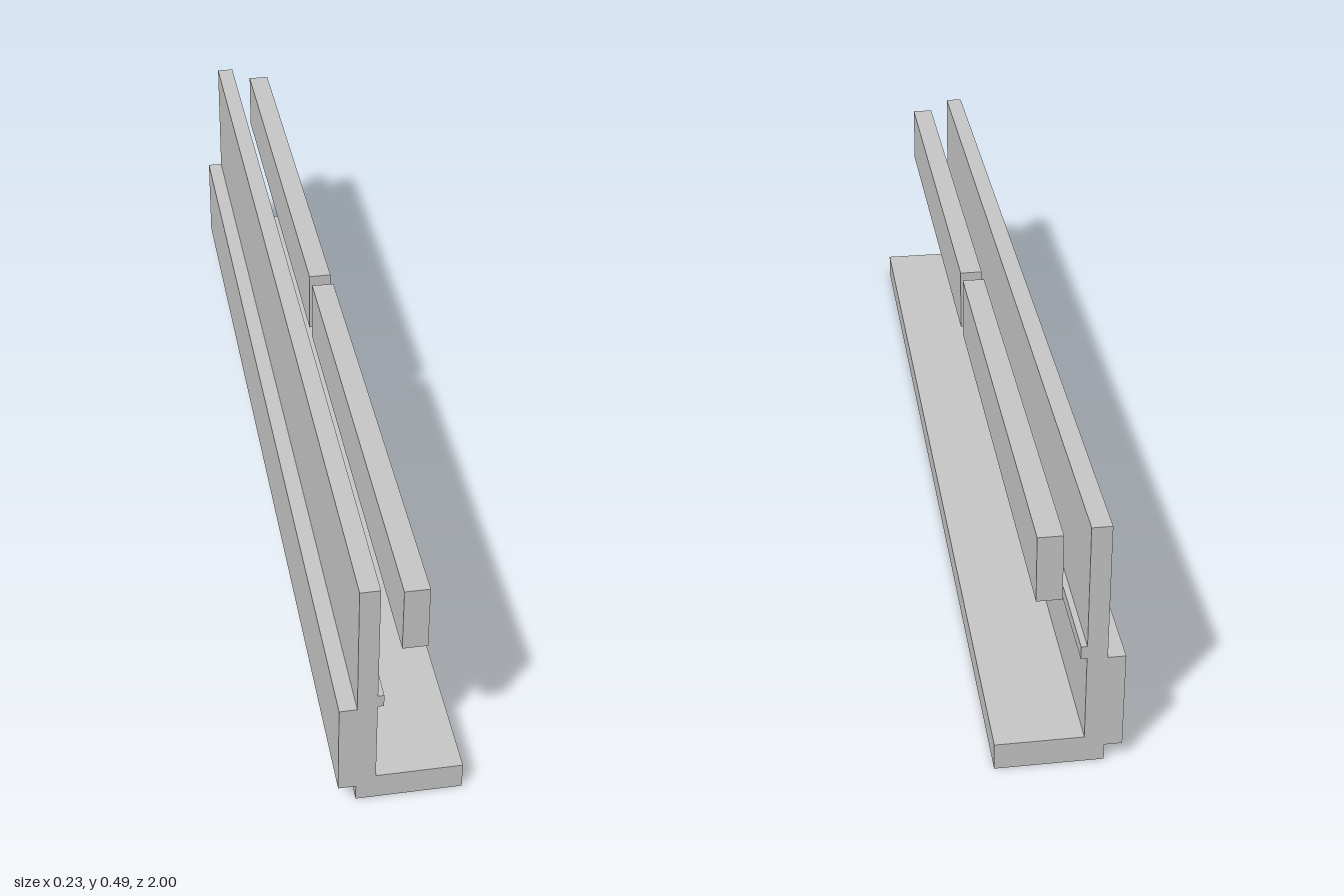
import * as THREE from 'three';

export function createModel() {
  const group = new THREE.Group();
  const grey = new THREE.MeshStandardMaterial({ color: 0xc8c8c8 });
  grey.name = 'light grey';

  // L-shaped rail: foot, upright, back plate and small ledge in one section
  const section = new THREE.Shape([
    [-0.082, 0], [0.113, 0], [0.113, 0.053], [-0.046, 0.053],
    [-0.046, 0.225], [-0.035, 0.225], [-0.035, 0.25], [-0.046, 0.25],
    [-0.046, 0.491], [-0.082, 0.491], [-0.082, 0.223], [-0.114, 0.223],
    [-0.114, 0.032], [-0.082, 0.032],
  ].map(([x, y]) => new THREE.Vector2(x, y)));
  const railGeometry = new THREE.ExtrudeGeometry(section, { depth: 2, bevelEnabled: false });
  railGeometry.translate(0, 0, -1);
  const rail = new THREE.Mesh(railGeometry, grey);
  rail.name = 'rail';
  group.add(rail);

  // Two separate bars in front of the upright, end to end with a gap
  for (const side of [1, -1]) {
    const bar = new THREE.Mesh(new THREE.BoxGeometry(0.045, 0.128, 0.968), grey);
    bar.position.set(0.019, 0.406, side * 0.502);
    bar.name = side > 0 ? 'frontBar' : 'backBar';
    group.add(bar);
  }

  return group;
}
